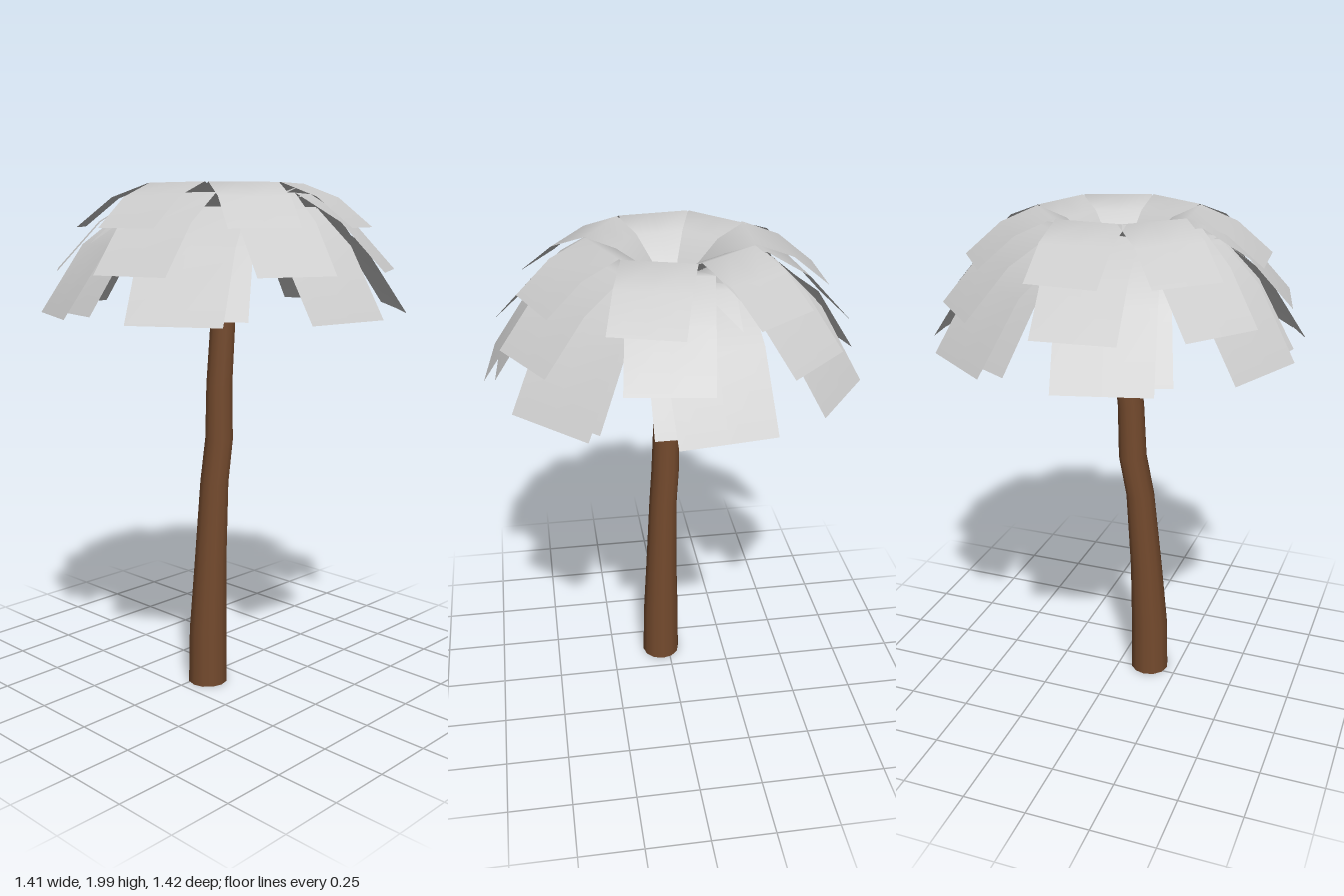
import * as THREE from 'three';

const bark = new THREE.MeshStandardMaterial({ color: 0x754b2e });
bark.name = 'bark brown';
const leafGrey = new THREE.MeshStandardMaterial({ color: 0xcccccc, side: THREE.DoubleSide });
leafGrey.name = 'leaf grey';

// Trunk sections from base to top: [y, x, z, radius]
const SECTIONS = [
  [0, -0.13, 0.033, 0.08], [0.22, -0.127, 0.032, 0.077], [0.5, -0.11, 0.03, 0.066],
  [0.83, -0.082, 0.025, 0.058], [1.0, -0.05, 0.02, 0.057], [1.22, -0.043, 0.015, 0.053],
  [1.5, -0.015, 0.01, 0.05], [1.79, 0, 0, 0.044],
];

// Frond tiers: profile [radius, y] from crown to tip, width, bearing of each frond in degrees
const TIERS = [
  { name: 'topFrond', width: 0.265, bearings: [-89, -134, 174, 121, 69, 17, -36],
    profile: [[0.04, 1.79], [0.1, 1.87], [0.18, 1.95], [0.28, 1.993], [0.42, 1.94], [0.555, 1.83]] },
  { name: 'middleFrond', width: 0.3, bearings: [-142, 166, 113, 61, 9, -43, -96],
    profile: [[0.04, 1.785], [0.1, 1.86], [0.19, 1.93], [0.31, 1.955], [0.48, 1.85], [0.645, 1.67]] },
  { name: 'lowerFrond', width: 0.33, bearings: [-60, -1, 43, 94, 143, -166, -111],
    profile: [[0.04, 1.78], [0.1, 1.845], [0.2, 1.905], [0.33, 1.905], [0.5, 1.765], [0.655, 1.525]] },
  { name: 'bottomFrond', width: 0.345, bearings: [-105, -157, 150, 97, 45, -7.5, -53],
    profile: [[0.04, 1.78], [0.1, 1.84], [0.2, 1.895], [0.34, 1.9], [0.52, 1.765], [0.69, 1.51]] },
];

// Tapering, leaning trunk: each ring of a cylinder is moved to its section
function makeTrunk() {
  const sides = 12;
  const geo = new THREE.CylinderGeometry(1, 1, 1, sides, SECTIONS.length - 1, false);
  const pos = geo.attributes.position;
  const normals = geo.attributes.normal.clone();
  for (let i = 0; i < pos.count; i++) {
    const ring = Math.round((pos.getY(i) + 0.5) * (SECTIONS.length - 1));
    const [y, x, z, r] = SECTIONS[ring];
    pos.setXYZ(i, x + pos.getX(i) * r, y, z + pos.getZ(i) * r);
  }
  geo.setAttribute('normal', normals);
  const mesh = new THREE.Mesh(geo, bark);
  mesh.name = 'trunk';
  return mesh;
}

// Arching strip running out along +x, bent along the profile
function makeFrondGeometry({ profile, width }) {
  const geo = new THREE.PlaneGeometry(width, 1, 2, profile.length - 1);
  const pos = geo.attributes.position;
  for (let i = 0; i < pos.count; i++) {
    const [r, y] = profile[Math.floor(i / 3)];
    pos.setXYZ(i, r, y, -pos.getX(i));
  }
  geo.computeVertexNormals();
  return geo;
}

export function createModel() {
  const model = new THREE.Group();
  model.name = 'palmTree';
  model.add(makeTrunk());

  // Pointed bud on top of the trunk
  const bud = new THREE.Mesh(new THREE.ConeGeometry(0.05, 0.05, 5).toNonIndexed(), bark);
  bud.geometry.computeVertexNormals();
  bud.position.y = 1.812;
  bud.name = 'crownBud';
  model.add(bud);

  // Overlapping tiers of fronds
  const crown = new THREE.Group();
  crown.name = 'crown';
  for (const tier of TIERS) {
    const geo = makeFrondGeometry(tier);
    for (const bearing of tier.bearings) {
      const frond = new THREE.Mesh(geo, leafGrey);
      frond.name = tier.name;
      frond.rotation.y = -THREE.MathUtils.degToRad(bearing);
      crown.add(frond);
    }
  }
  model.add(crown);

  // Small nuts around the trunk below the fronds
  const nutGeo = new THREE.IcosahedronGeometry(0.03, 0);
  for (let i = 0; i < 5; i++) {
    const a = (i / 5) * Math.PI * 2 + 0.3;
    const nut = new THREE.Mesh(nutGeo, bark);
    nut.name = 'nut';
    nut.position.set(Math.cos(a) * 0.065, 1.75, Math.sin(a) * 0.065);
    nut.rotation.y = a;
    model.add(nut);
  }
  return model;
}
